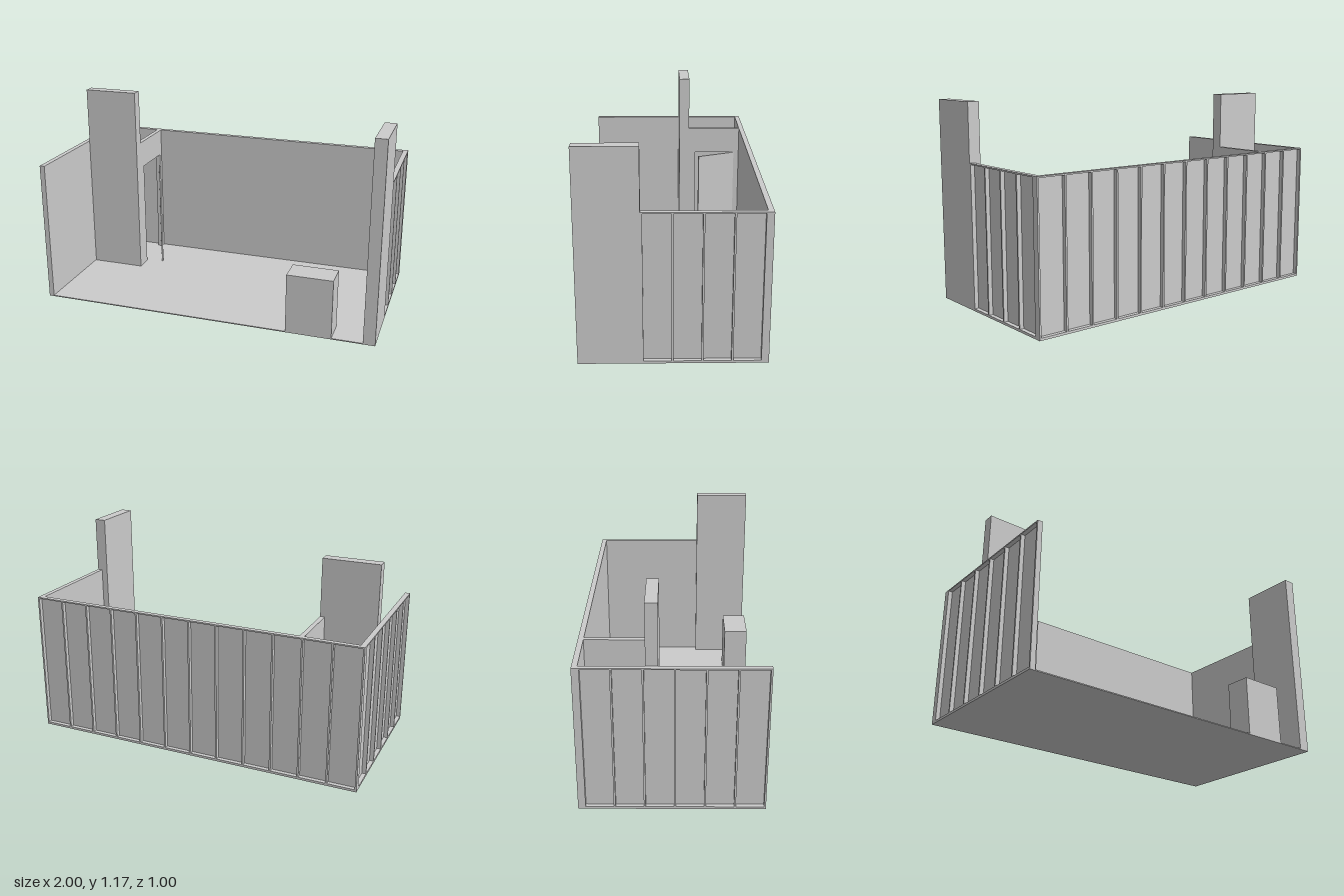
import * as THREE from 'three';

const HEIGHT = 0.835, THICK = 0.03, FLOOR = 0.006;
const BACK = -0.113, FRONT = 0.883, INNER = BACK + THICK;
const POST_TOP = 1.17;

const material = new THREE.MeshStandardMaterial({ color: 0xcccccc, flatShading: true });

// Box given by its lower and upper limits on each axis
function block(name, [x0, x1], [y0, y1], [z0, z1]) {
  const mesh = new THREE.Mesh(new THREE.BoxGeometry(x1 - x0, y1 - y0, z1 - z0), material);
  mesh.name = name;
  mesh.position.set((x0 + x1) / 2, (y0 + y1) / 2, (z0 + z1) / 2);
  return mesh;
}

// Wall along x, centred; sheet at the inner face z = 0, open studs towards +z
function framedWall(name, length, bays) {
  const wall = new THREE.Group();
  wall.name = name;
  const h = length / 2, stud = 0.01, plate = 0.008;
  wall.add(
    block('sheet', [-h, h], [FLOOR, HEIGHT], [0, 0.006]),
    block('topPlate', [-h, h], [HEIGHT - plate, HEIGHT], [0.006, THICK]),
    block('bottomPlate', [-h, h], [FLOOR, FLOOR + plate], [0.006, THICK])
  );
  for (let i = 0; i <= bays; i++) {
    const x = -h + (length - stud) * i / bays;
    wall.add(block('stud', [x, x + stud], [FLOOR + plate, HEIGHT - plate], [0.006, THICK]));
  }
  return wall;
}

export function createModel() {
  const model = new THREE.Group();
  model.name = 'room';
  model.add(block('floor', [-1, 1], [0, FLOOR], [BACK, FRONT]));

  // Outer framed walls
  const back = framedWall('backWall', 2, 12);
  back.rotation.y = Math.PI;
  back.position.z = INNER;
  const right = framedWall('rightWall', FRONT - INNER, 6);
  right.rotation.y = -Math.PI / 2;
  right.position.set(-1 + THICK, 0, (FRONT + INNER) / 2);
  const left = framedWall('leftWall', 0.55 - INNER, 4);
  left.rotation.y = Math.PI / 2;
  left.position.set(1 - THICK, 0, (0.55 + INNER) / 2);
  model.add(back, right, left);

  // Tall slabs rising above the walls
  model.add(
    block('frontPost', [0.932, 1], [FLOOR, POST_TOP], [0.55, FRONT]),
    block('closetFront', [-0.967, -0.64], [FLOOR, POST_TOP], [0.252, 0.317])
  );

  // Closet side wall with a doorway: two jambs and a header
  const doorTop = 0.67, hinge = -0.05, latch = 0.212;
  const wx = [-0.667, -0.64];
  const side = new THREE.Group();
  side.name = 'closetSideWall';
  side.add(
    block('backJamb', wx, [FLOOR, doorTop], [INNER, hinge]),
    block('frontJamb', wx, [FLOOR, doorTop], [latch, 0.252]),
    block('header', wx, [doorTop, HEIGHT], [INNER, 0.252])
  );
  model.add(side);

  // Door standing ajar
  const door = new THREE.Group();
  door.name = 'door';
  door.add(block('doorLeaf', [-0.01, 0], [FLOOR, doorTop], [0, latch - hinge]));
  door.position.set(-0.636, 0, hinge);
  door.rotation.y = Math.atan2(0.105, 0.24);
  model.add(door);

  // Low cabinet at the open front
  model.add(block('cabinet', [0.492, 0.756], [FLOOR, 0.354], [0.735, FRONT]));
  return model;
}
